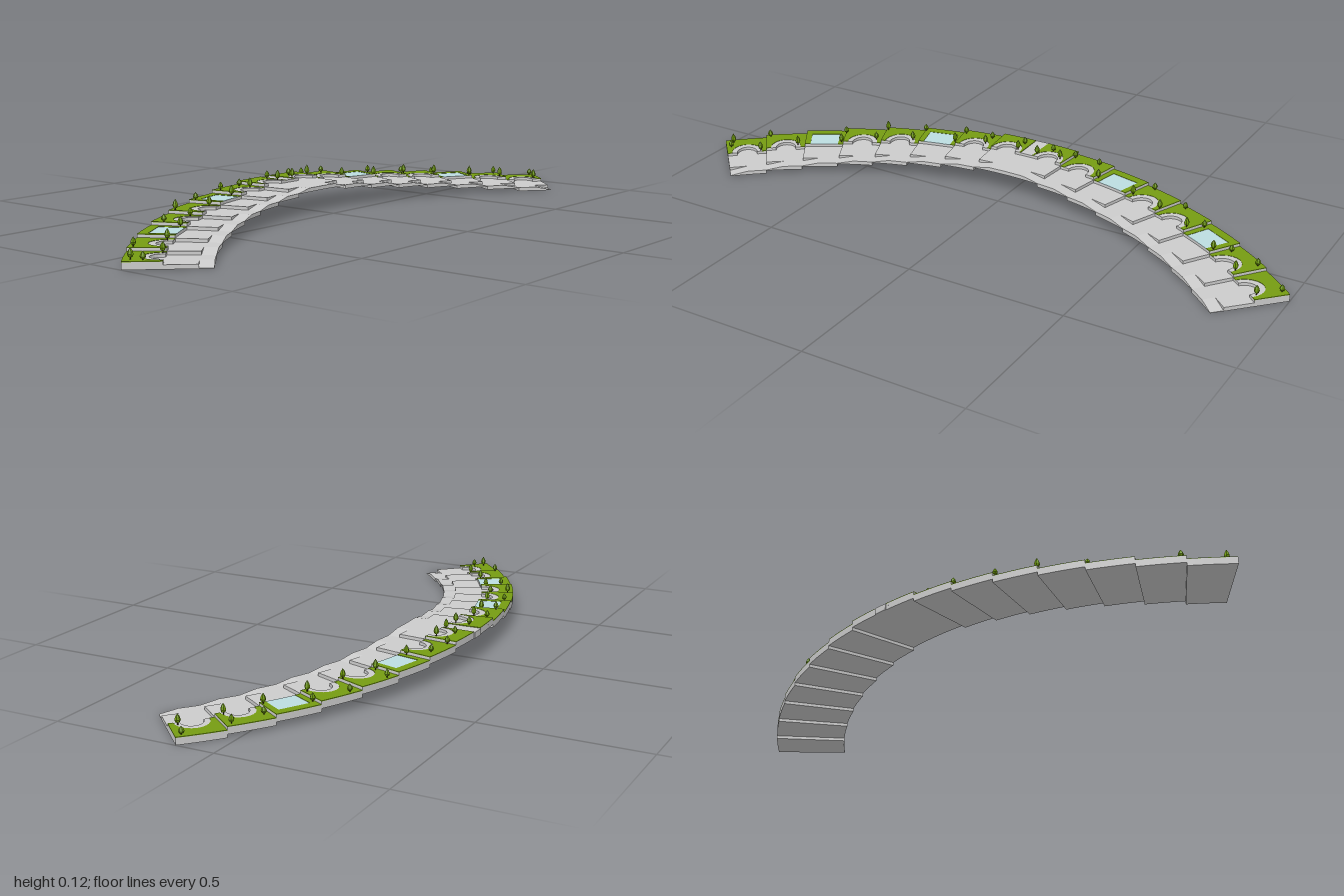
import * as THREE from 'three';

const CX = 1.162, R_IN = 1.21, R_RAMP = 1.25, R_TER = 1.34, R_OUT = 1.446;
const LEVELS = 8, STEP = 0.763 / LEVELS, RISE = 0.01, RAMP = 0.045;

const material = (color) => new THREE.MeshStandardMaterial({ color, flatShading: true, side: THREE.DoubleSide });
const grey = material(0xcccccc), green = material(0x759c12), water = material(0xbcdce0);
const leaf = material(0x6f9a08), bark = material(0x3a2c18);

// Points [radius, angle] along an arc of the terrace
function arc(r, a, b, n = 6) {
  return Array.from({ length: n + 1 }, (_, i) => [r, a + (b - a) * i / n]);
}

function sector(r0, r1, a, b) {
  return [...arc(r0, a, b), ...arc(r1, b, a)];
}

// Half-round outline opening towards the path
function bayCurve(mid, radius, sign = 1) {
  return Array.from({ length: 13 }, (_, i) => {
    const f = sign * (i / 12 - 0.5) * Math.PI;
    return [R_TER + radius * Math.cos(f) * 1.2, mid + radius * Math.sin(f) / 1.36];
  });
}

// Horizontal slab with a polar outline
function slabGeometry(points, top, bottom, side) {
  const shape = new THREE.Shape(points.map(([r, t]) =>
    new THREE.Vector2(CX - r * Math.cos(t), side * r * Math.sin(t))));
  const g = new THREE.ExtrudeGeometry(shape, { depth: top - bottom, bevelEnabled: false });
  return g.rotateX(Math.PI / 2).translate(0, top, 0);
}

function add(group, name, geometry, mat) {
  const mesh = new THREE.Mesh(geometry, mat);
  mesh.name = name;
  group.add(mesh);
  return mesh;
}

// One level of the stepped terrace, counted upwards from the end
function buildLevel(k, side) {
  const group = new THREE.Group();
  group.name = 'terraceLevel';
  const base = k * RISE, path = base + 0.012, deck = base + 0.020;
  const hi = (LEVELS - k) * STEP, lo = hi - STEP;
  const slab = (name, pts, top, bottom, mat) => add(group, name, slabGeometry(pts, top, bottom, side), mat);

  // Path, with a ramp beside the step at its lower end
  slab('path', [...arc(R_IN, lo, hi - RAMP), [R_RAMP, hi - RAMP], [R_RAMP, hi], ...arc(R_OUT, hi, lo)], path, base, grey);
  const ramp = slabGeometry(sector(R_IN, R_RAMP, hi - RAMP, hi), path, base, side);
  const p = ramp.attributes.position;
  for (let i = 0; i < p.count; i++) {
    if (p.getY(i) < path - 0.001) continue;
    const t = Math.abs(Math.atan2(p.getZ(i), CX - p.getX(i)));
    p.setY(i, path - RISE * (t - hi + RAMP) / RAMP);
  }
  ramp.computeVertexNormals();
  add(group, 'ramp', ramp, grey);

  // Raised planting bed with either a pool or a round seating bay
  const start = k === LEVELS - 1 ? 0.016 : lo;
  const mid = (start + hi) / 2;
  const bed = (notch) => [...arc(R_TER, start, mid - 0.04, 2), ...notch, ...arc(R_TER, mid + 0.04, hi, 2), ...arc(R_OUT, hi, start)];
  if (k === 2 || k === 5) {
    const w = 0.034, back = 1.418;
    slab('bedWall', sector(R_TER, R_OUT, start, hi), deck, path, grey);
    slab('lawn', bed([[R_TER, mid - w], [back, mid - w], [back, mid + w], [R_TER, mid + w]]), deck + 0.002, deck, green);
    slab('pool', sector(R_TER, back, mid - w, mid + w), deck + 0.001, deck, water);
  } else {
    const notch = bayCurve(mid, 0.05);
    slab('bedWall', bed(notch), deck, path, grey);
    slab('lawn', bed(notch), deck + 0.002, deck, green);
    slab('curvedBench', [...notch, ...bayCurve(mid, 0.033, -1)], deck + 0.001, path, grey);
  }
  return group;
}

// Pointed faceted tree
const crown = new THREE.LatheGeometry(
  [[0, 0.005], [0.006, 0.008], [0.0085, 0.015], [0.006, 0.024], [0, 0.034]].map(([x, y]) => new THREE.Vector2(x, y)), 6);
const trunk = new THREE.CylinderGeometry(0.0015, 0.002, 0.009, 5).translate(0, 0.0045, 0);

function buildTree(x, z, i) {
  const tree = new THREE.Group();
  tree.name = 'tree';
  add(tree, 'trunk', trunk, bark);
  add(tree, 'crown', crown, leaf);
  const t = Math.atan2(Math.abs(z), CX - x);
  const k = Math.max(0, LEVELS - 1 - Math.floor(t / STEP));
  const size = [1, 0.72, 0.95, 0.8][i % 4];
  tree.position.set(x, k * RISE + 0.021, z);
  tree.scale.set(1, size, 1);
  tree.rotation.y = i * 1.3;
  return tree;
}

// Plan positions of the trees, x and z
const TREES = [
  [0.115, 0.965], [0.145, 0.95], [0.115, 0.85], [0.03, 0.875], [0.035, 0.755], [-0.09, 0.645],
  [-0.04, 0.63], [-0.1, 0.53], [-0.165, 0.525], [-0.205, 0.4], [-0.14, 0.41], [-0.235, 0.26],
  [-0.18, 0.27], [-0.245, 0.165], [-0.2, 0.165], [-0.24, 0.04], [-0.195, 0.04],
  [-0.24, -0.065], [-0.195, -0.03], [-0.25, -0.14], [-0.2, -0.11], [-0.24, -0.23], [-0.175, -0.26],
  [-0.205, -0.44], [-0.145, -0.395], [-0.155, -0.565], [-0.1, -0.505], [-0.09, -0.655], [-0.05, -0.615],
  [-0.01, -0.775], [0.02, -0.73], [0.03, -0.87], [0.085, -0.825], [0.115, -0.975], [0.165, -0.92],
];

export function createModel() {
  const model = new THREE.Group();
  model.name = 'curvedTerrace';
  for (const side of [1, -1]) {
    for (let k = 0; k < LEVELS; k++) model.add(buildLevel(k, side));
  }
  // Central lookout between the two highest beds
  add(model, 'lookout', slabGeometry(sector(R_TER, R_OUT + 0.003, -0.016, 0.016), 0.09, 0.07, 1), grey);
  TREES.forEach(([x, z], i) => model.add(buildTree(x, z, i)));
  return model;
}
